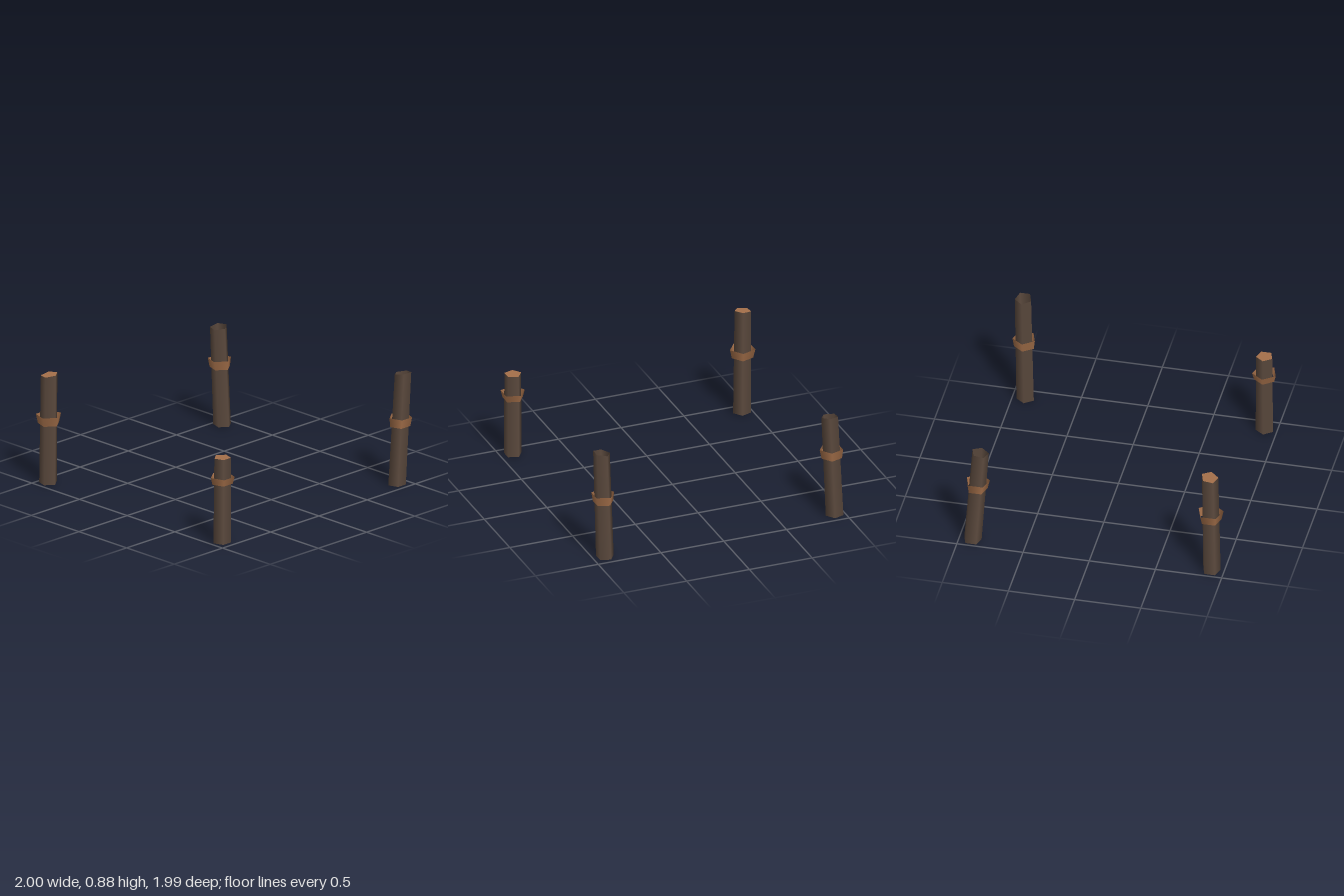
import * as THREE from 'three';

export function createModel() {
  const model = new THREE.Group();
  const bark = new THREE.MeshStandardMaterial({ color: 0x5c4a3e, side: THREE.DoubleSide });
  bark.name = 'darkBark';
  const wood = new THREE.MeshStandardMaterial({ color: 0xa5704a, side: THREE.DoubleSide });
  wood.name = 'warmWood';

  // foot and head are the [x, z] centres of the log's ends; slope tilts the sawn top in x and z
  const posts = [
    { name: 'frontLeftPost', foot: [0.9, 0.908], head: [0.901, 0.905], height: 0.662, slope: [0, 0],
      turn: Math.PI, cut: true, band: [0.46, 0.515, 0.08, 0.094] },
    { name: 'frontRightPost', foot: [-0.922, 0.905], head: [-0.924, 0.892], height: 0.843, slope: [0.1, -0.12],
      turn: 0, cut: true, band: [0.46, 0.53, 0.083, 0.099] },
    { name: 'backLeftPost', foot: [0.905, -0.9], head: [0.942, -0.925], height: 0.875, slope: [0.17, 0],
      turn: Math.PI, cut: false, band: [0.46, 0.53, 0.079, 0.089] },
    { name: 'backRightPost', foot: [-0.922, -0.9], head: [-0.906, -0.845], height: 0.785, slope: [0, -0.14],
      turn: 0, cut: false, band: [0.46, 0.53, 0.08, 0.091] },
  ];

  for (const p of posts) {
    const group = new THREE.Group();
    group.name = p.name;

    // leans a part along the log's axis and slants whatever lies at the top
    const lean = (geometry) => {
      const pos = geometry.attributes.position;
      for (let i = 0; i < pos.count; i++) {
        const x = pos.getX(i), y = pos.getY(i), z = pos.getZ(i);
        const t = y / p.height;
        const tilt = t > 0.99 ? x * p.slope[0] + z * p.slope[1] : 0;
        pos.setXYZ(i,
          x + THREE.MathUtils.lerp(p.foot[0], p.head[0], t),
          y + tilt,
          z + THREE.MathUtils.lerp(p.foot[1], p.head[1], t));
      }
      return geometry;
    };
    const add = (name, geometry, material) => {
      const mesh = new THREE.Mesh(lean(geometry), material);
      mesh.name = name;
      group.add(mesh);
    };
    // open five-sided sleeve with one corner along x
    const sleeve = (y0, y1, r0, r1) =>
      new THREE.CylinderGeometry(r1, r0, y1 - y0, 5, 1, true, Math.PI / 2 + p.turn)
        .translate(0, (y0 + y1) / 2, 0);

    add('log', sleeve(0, p.height, 0.069, 0.065), bark);
    add('band', sleeve(...p.band), wood);

    // sawn face closing the log
    if (p.cut) {
      add('cutFace', new THREE.CircleGeometry(0.065, 5, p.turn).rotateX(-Math.PI / 2)
        .translate(0, p.height, 0), wood);
    }
    model.add(group);
  }
  return model;
}
